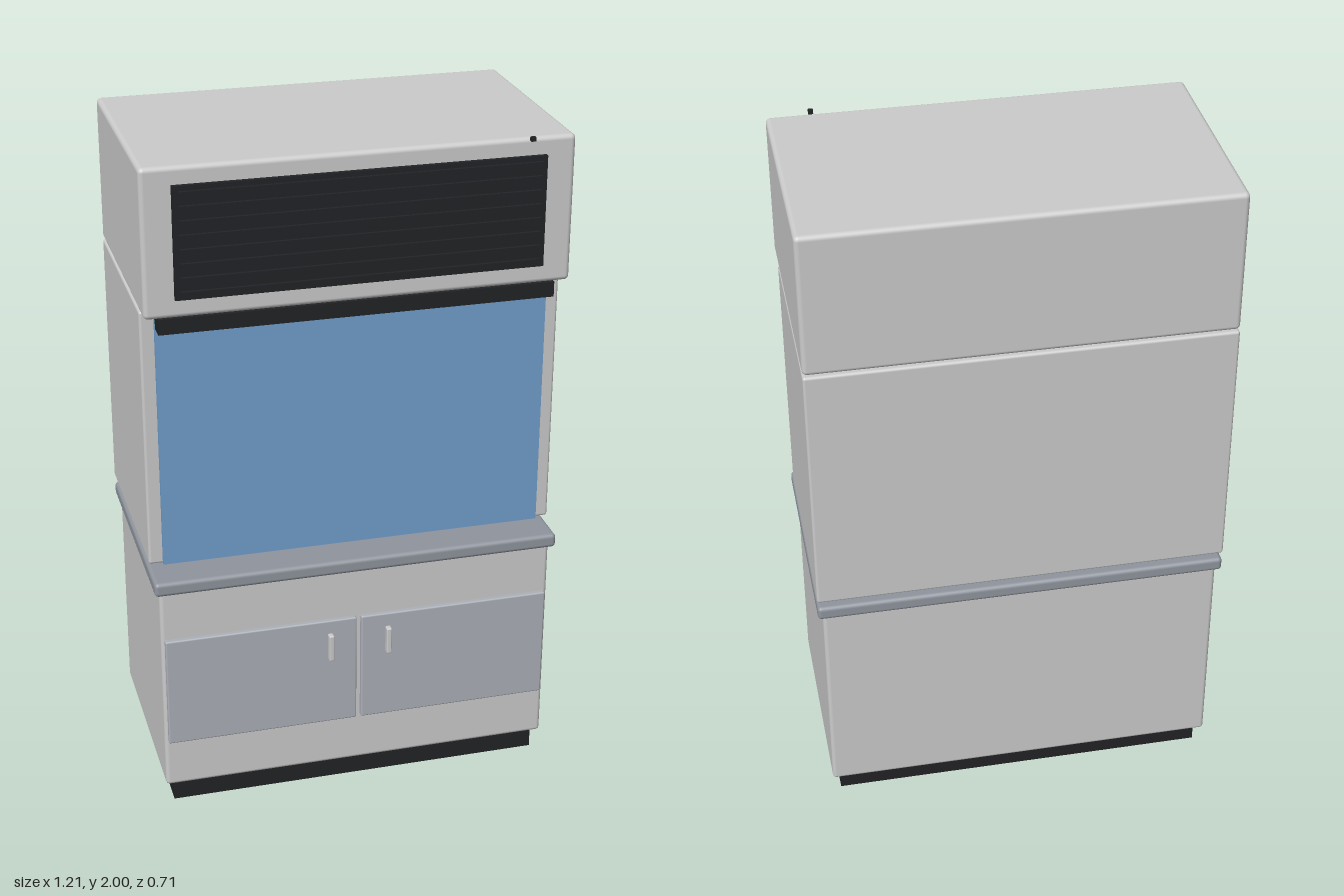
import * as THREE from 'three';
import { RoundedBoxGeometry } from 'three/addons/geometries/RoundedBoxGeometry.js';

const mat = (color) => new THREE.MeshStandardMaterial({ color });

export function createModel() {
  const model = new THREE.Group();
  model.name = 'fumeCupboard';
  const shell = mat(0xcccccc);
  const worktopGrey = mat(0x90959e);
  const doorGrey = mat(0xacb0b8);
  const black = mat(0x222326);
  const blue = mat(0x709fcc);

  // Box given by its limits on each axis; a radius rounds its edges
  function block(name, [x0, x1], [y0, y1], [z0, z1], material, radius = 0, parent = model) {
    const size = [x1 - x0, y1 - y0, z1 - z0];
    const geometry = radius
      ? new RoundedBoxGeometry(...size, 3, radius)
      : new THREE.BoxGeometry(...size);
    const mesh = new THREE.Mesh(geometry, material);
    mesh.name = name;
    mesh.position.set((x0 + x1) / 2, (y0 + y1) / 2, (z0 + z1) / 2);
    parent.add(mesh);
    return mesh;
  }

  // Base cabinet
  block('plinth', [-0.565, 0.565], [0, 0.07], [-0.31, 0.295], black);
  block('baseCabinet', [-0.59, 0.59], [0.065, 0.73], [-0.34, 0.315], shell, 0.012);
  block('worktop', [-0.605, 0.605], [0.72, 0.763], [-0.355, 0.335], worktopGrey, 0.012);

  // Pair of doors with upright handles near the middle
  for (const [side, s] of [['left', 1], ['right', -1]]) {
    const span = (a, b) => (s > 0 ? [a, b] : [-b, -a]);
    block(side + 'Door', span(0.007, 0.58), [0.22, 0.567], [0.31, 0.33], doorGrey, 0.005);
    block(side + 'DoorHandle', span(0.08, 0.096), [0.44, 0.525], [0.328, 0.35], shell, 0.004);
  }

  // Working chamber closed by a sliding sash
  block('chamber', [-0.605, 0.605], [0.785, 1.565], [-0.355, 0.25], shell, 0.008);
  block('sash', [-0.565, 0.565], [0.785, 1.55], [0.24, 0.26], blue);
  block('sashRail', [-0.565, 0.565], [1.545, 1.565], [0.245, 0.32], black);
  block('sashGrip', [-0.565, 0.565], [1.52, 1.55], [0.27, 0.32], black);

  // Top housing with a louvred grille
  block('topHousing', [-0.605, 0.605], [1.57, 1.995], [-0.355, 0.332], shell, 0.014);
  const grille = new THREE.Group();
  grille.name = 'grille';
  model.add(grille);
  block('grillePanel', [-0.52, 0.52], [1.625, 1.945], [0.325, 0.345], black, 0, grille);
  const slats = 8;
  for (let i = 0; i < slats; i++) {
    const y = 1.645 + i * 0.04;
    block('slat' + (i + 1), [-0.505, 0.505], [y - 0.006, y + 0.006], [0.34, 0.355], black, 0, grille);
  }
  block('indicator', [0.469, 0.483], [1.988, 2], [0.336, 0.348], black);

  return model;
}
